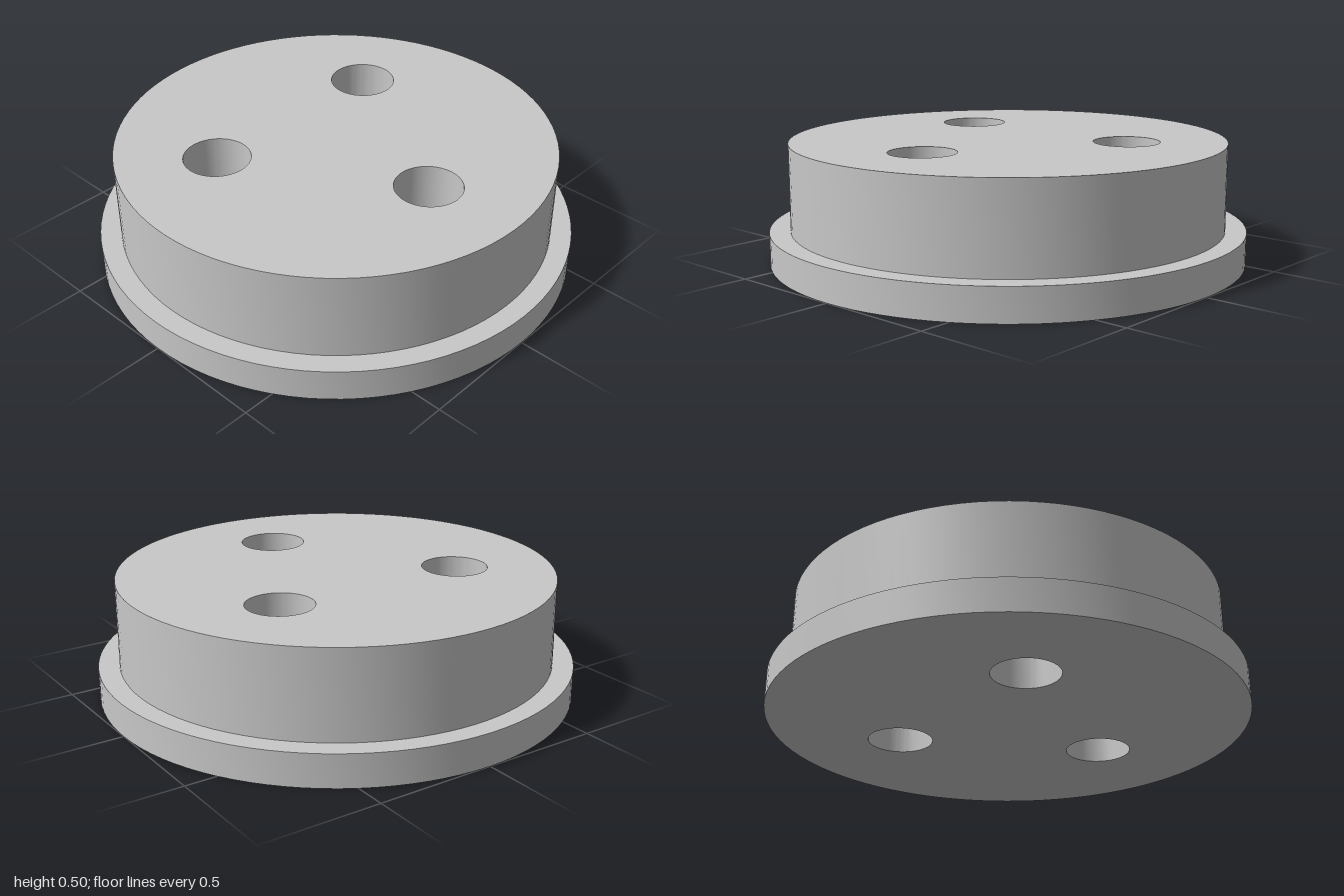
import * as THREE from 'three';
import { toCreasedNormals } from 'three/addons/utils/BufferGeometryUtils.js';

const HOLE_RADIUS = 0.138;
const HOLE_CIRCLE = 0.5;

// Round plate standing from y0 to y1, pierced by three evenly spaced holes
function drilledDisc(name, radius, y0, y1, material) {
  const shape = new THREE.Shape().absarc(0, 0, radius, 0, Math.PI * 2, false);
  for (let i = 0; i < 3; i++) {
    const a = -Math.PI / 2 + (i * Math.PI * 2) / 3;
    const x = HOLE_CIRCLE * Math.cos(a);
    const y = HOLE_CIRCLE * Math.sin(a);
    shape.holes.push(new THREE.Path().absarc(x, y, HOLE_RADIUS, 0, Math.PI * 2, true));
  }
  const extruded = new THREE.ExtrudeGeometry(shape, {
    depth: y1 - y0, bevelEnabled: false, curveSegments: 48,
  });
  extruded.rotateX(-Math.PI / 2).translate(0, y0, 0);
  const mesh = new THREE.Mesh(toCreasedNormals(extruded, Math.PI / 6), material);
  mesh.name = name;
  return mesh;
}

export function createModel() {
  const model = new THREE.Group();
  model.name = 'flangedDisc';
  const grey = new THREE.MeshStandardMaterial({ color: 0xc8c8c8 });
  grey.name = 'light grey';

  // Wide base rim with the thicker body on top
  model.add(drilledDisc('flange', 1, 0, 0.137, grey));
  model.add(drilledDisc('body', 0.913, 0.137, 0.503, grey));
  return model;
}
